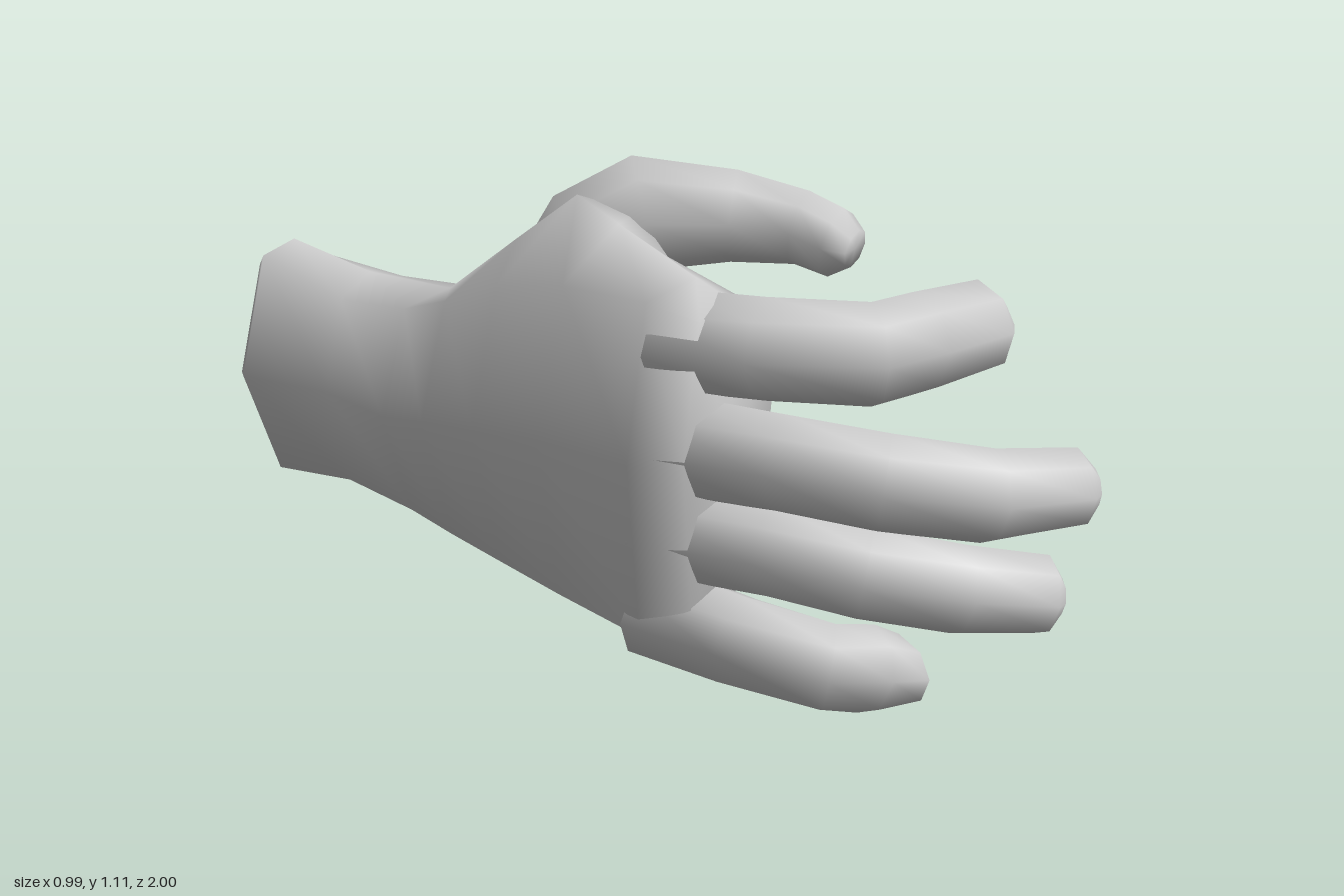
import * as THREE from 'three';

const material = new THREE.MeshStandardMaterial({ color: 0xcccccc });
const SIDES = 8;

// Skins a list of rings (each SIDES points) and closes both ends with fans.
function loft(name, rings) {
  const pos = [], index = [];
  rings.forEach(ring => ring.forEach(p => pos.push(p.x, p.y, p.z)));
  for (let i = 0; i < rings.length - 1; i++) {
    for (let j = 0; j < SIDES; j++) {
      const a = i * SIDES + j, b = i * SIDES + (j + 1) % SIDES;
      index.push(a, a + SIDES, b, b, a + SIDES, b + SIDES);
    }
  }
  [0, rings.length - 1].forEach((r, end) => {
    const c = new THREE.Vector3();
    rings[r].forEach(p => c.addScaledVector(p, 1 / SIDES));
    const centre = pos.length / 3;
    pos.push(c.x, c.y, c.z);
    for (let j = 0; j < SIDES; j++) {
      const a = r * SIDES + j, b = r * SIDES + (j + 1) % SIDES;
      index.push(centre, end ? b : a, end ? a : b);
    }
  });
  const geometry = new THREE.BufferGeometry();
  geometry.setAttribute('position', new THREE.Float32BufferAttribute(pos, 3));
  geometry.setIndex(index);
  geometry.computeVertexNormals();
  const mesh = new THREE.Mesh(geometry, material);
  mesh.name = name;
  return mesh;
}

// A bent digit: each joint is [x, y, z, radius, sideways radius if different].
function digit(name, joints) {
  const pts = joints.map(j => new THREE.Vector3(j[0], j[1], j[2]));
  const last = pts.length - 1;
  const dir = i => pts[i + 1].clone().sub(pts[i]).normalize();
  const rings = pts.map((p, i) => {
    const t = dir(Math.min(i, last - 1)).add(dir(Math.max(i - 1, 0))).normalize();
    const side = new THREE.Vector3(0, 1, 0).cross(t).normalize();
    const up = t.clone().cross(side);
    const [, , , r, rSide = r] = joints[i];
    return Array.from({ length: SIDES }, (_, k) => {
      const a = k / SIDES * Math.PI * 2;
      return p.clone().addScaledVector(up, r * Math.cos(a)).addScaledVector(side, rSide * Math.sin(a));
    });
  });
  return loft(name, rings);
}

// Sections from wrist to knuckles: z, slant of the section, then x,y pairs
// running top, palm side, bottom, back of the hand. The ball of the thumb
// and its web swell the top of the middle sections.
function palm() {
  const sections = [
    [-0.92, 0.32, -.27, .87, -.12, .80, -.05, .56, -.13, .36, -.27, .30, -.36, .32, -.50, .585, -.40, .855],
    [-0.72, 0.30, -.18, .80, -.04, .76, .02, .56, -.05, .36, -.19, .27, -.31, .32, -.38, .55, -.31, .76],
    [-0.50, 0.10, -.14, .79, .05, .75, .09, .64, .05, .39, -.12, .21, -.29, .28, -.385, .53, -.30, .77],
    [-0.36, 0.00, -.07, .92, .12, .88, .11, .71, .04, .36, -.13, .17, -.29, .25, -.38, .54, -.30, .81],
    [-0.20, 0.00, -.03, 1.04, .17, .97, .09, .74, .01, .32, -.14, .14, -.29, .22, -.375, .55, -.29, .87],
    [0.00, 0.00, -.10, 1.01, .06, .91, .04, .66, -.03, .30, -.15, .12, -.30, .19, -.365, .56, -.28, .90],
    [0.25, 0.00, -.12, .93, .03, .86, .015, .60, -.055, .30, -.18, .08, -.30, .15, -.34, .55, -.28, .90],
    [0.37, 0.00, -.12, .89, .02, .83, -.01, .60, -.08, .34, -.17, .10, -.26, .17, -.29, .55, -.24, .87],
  ];
  const rings = sections.map(([z, slant, ...xy]) =>
    Array.from({ length: SIDES }, (_, k) => {
      const x = xy[2 * k];
      return new THREE.Vector3(x, xy[2 * k + 1], z - slant * (x + 0.28));
    }));
  // bevelled rim of the wrist end
  const wristEnd = new THREE.Vector3(-0.28, 0.58, -0.92);
  rings.unshift(rings[0].map(p => {
    const q = p.clone().lerp(wristEnd, 0.1);
    q.z -= 0.025;
    return q;
  }));
  return loft('palmAndWrist', rings);
}

export function createModel() {
  const hand = new THREE.Group();
  hand.name = 'hand';
  hand.add(palm());

  const digits = {
    thumb: [[.02, .80, -.38, .08], [.075, .89, -.27, .145], [.18, .97, -.18, .14],
      [.31, .965, -.02, .11], [.39, .945, .12, .09], [.405, .92, .21, .085], [.42, .91, .255, .045, .065]],
    indexFinger: [[-.15, .79, .22, .115, .17], [-.09, .795, .43, .115, .145], [.01, .80, .635, .115, .125],
      [.14, .80, .64, .115, .11], [.42, .79, .615, .105, .11], [.465, .80, .635, .05, .07]],
    middleFinger: [[-.20, .57, .24, .115, .13], [-.12, .56, .50, .11], [-.03, .54, .71, .11],
      [.15, .50, .85, .105], [.40, .475, .90, .09, .10], [.435, .475, .93, .04, .06]],
    ringFinger: [[-.20, .37, .20, .11, .13], [-.13, .36, .48, .105], [-.05, .335, .68, .105],
      [.11, .29, .81, .10], [.315, .245, .885, .09, .095], [.345, .24, .91, .04, .055]],
    littleFinger: [[-.20, .175, .20, .105, .12], [-.18, .155, .43, .105], [-.11, .125, .63, .10],
      [-.03, .11, .67, .10], [.09, .08, .67, .08, .10], [.115, .09, .68, .045, .06]],
  };
  for (const [name, joints] of Object.entries(digits)) hand.add(digit(name, joints));
  return hand;
}
